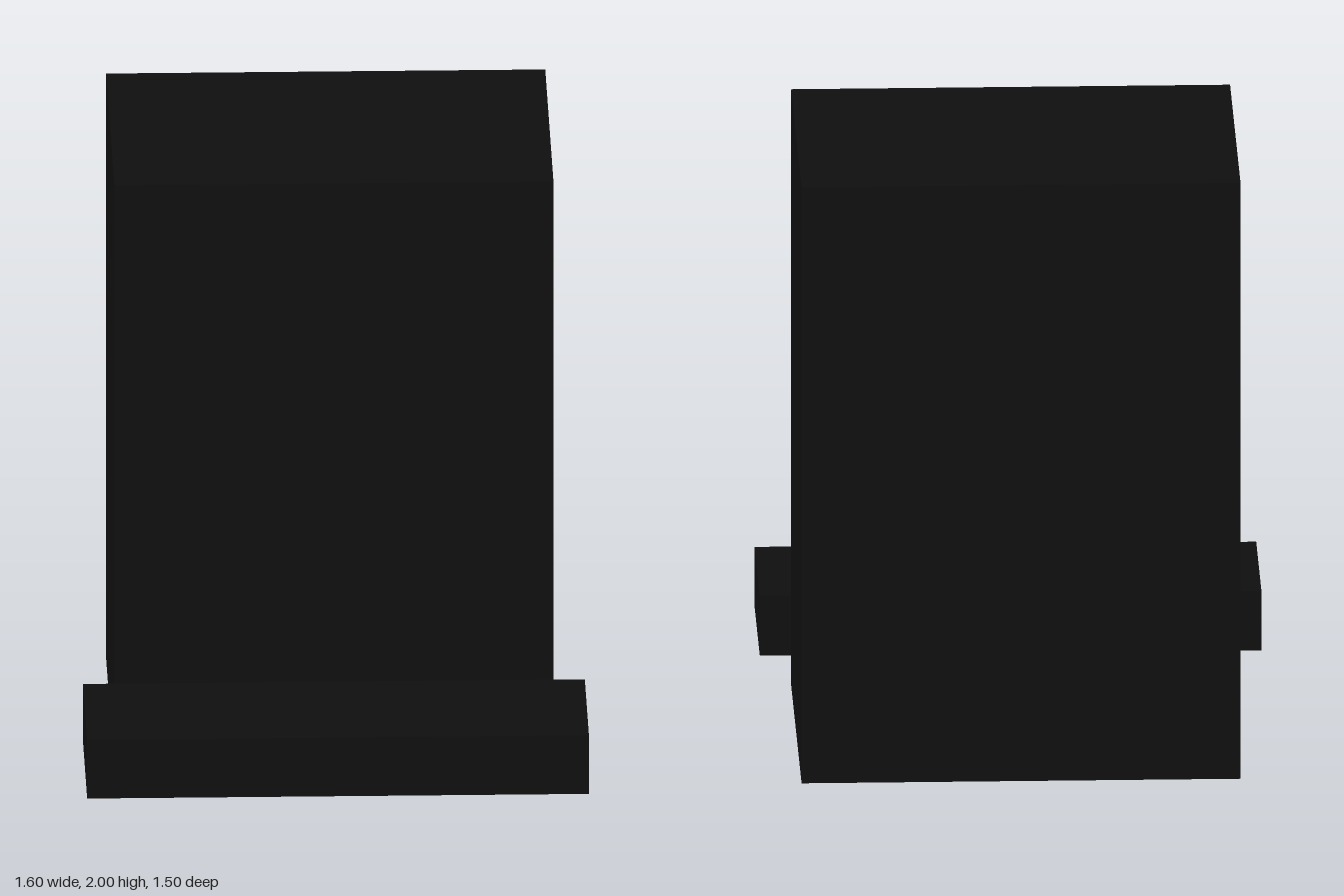
import * as THREE from 'three';

export function createModel() {
  const group = new THREE.Group();
  const black = new THREE.MeshStandardMaterial({ color: 0x0f0f0f });
  black.name = 'black';

  // Box given by its size and the centre of its base
  const addBox = (name, [w, h, d], [x, y, z]) => {
    const mesh = new THREE.Mesh(new THREE.BoxGeometry(w, h, d), black);
    mesh.name = name;
    mesh.position.set(x, y + h / 2, z);
    group.add(mesh);
  };

  // Tall upright cabinet
  addBox('cabinet', [1.4, 2, 1], [0, 0, -0.25]);
  // Wide shelf standing out from the lower front
  addBox('frontShelf', [1.6, 0.2, 0.5], [0, 0.1, 0.5]);

  return group;
}
